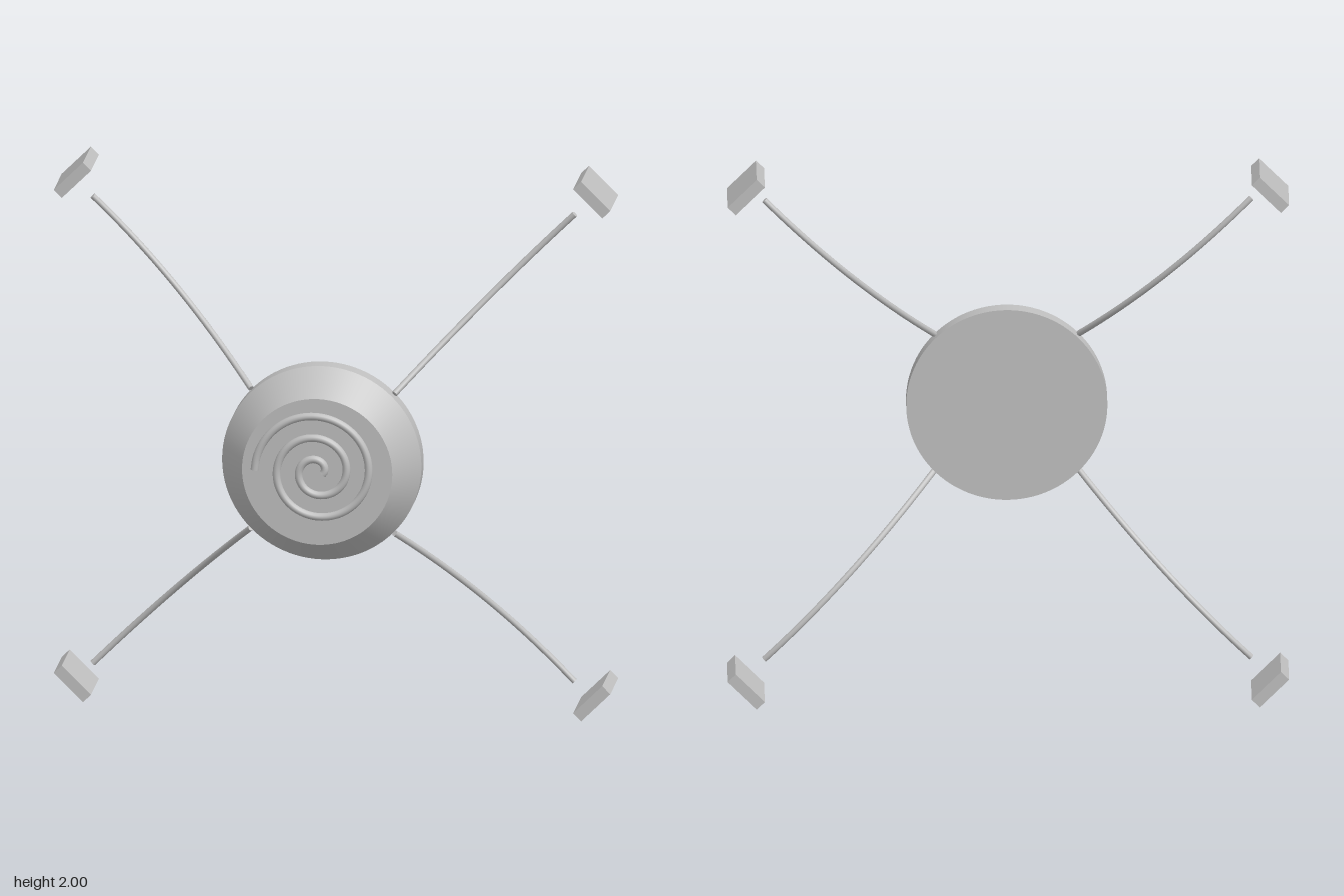
import * as THREE from 'three';

const grey = new THREE.MeshStandardMaterial({ color: 0xbfbfbf });
grey.name = 'plain grey';

// round rod along a curve, closed with a flat disc at each end
function rod(name, curve, radius, segments, sides) {
  const group = new THREE.Group();
  group.name = name;
  group.add(new THREE.Mesh(new THREE.TubeGeometry(curve, segments, radius, sides), grey));
  for (const t of [0, 1]) {
    const cap = new THREE.Mesh(new THREE.CircleGeometry(radius, sides), grey);
    const out = curve.getTangentAt(t).multiplyScalar(t ? 1 : -1);
    cap.position.copy(curve.getPointAt(t));
    cap.quaternion.setFromUnitVectors(new THREE.Vector3(0, 0, 1), out);
    group.add(cap);
  }
  return group;
}

export function createModel() {
  const model = new THREE.Group();
  model.name = 'spiralDiscWithArms';

  // body: short cylindrical rim and a tapered front, both facing +z
  const rim = new THREE.Mesh(new THREE.CylinderGeometry(0.358, 0.358, 0.06, 96), grey);
  rim.name = 'bodyRim';
  rim.rotation.x = Math.PI / 2;
  rim.position.set(0, 1, 0.138);
  const front = new THREE.Mesh(new THREE.CylinderGeometry(0.27, 0.358, 0.12, 96), grey);
  front.name = 'bodyFront';
  front.rotation.x = Math.PI / 2;
  front.position.set(0, 1, 0.228);
  model.add(rim, front);

  // raised spiral, winding inward clockwise from the left edge
  const spiral = [];
  const turns = 2.55;
  for (let i = 0; i <= 80; i++) {
    const t = (i / 80) * turns;
    const r = 0.225 - 0.08 * t;
    const a = Math.PI - t * Math.PI * 2;
    spiral.push(new THREE.Vector3(r * Math.cos(a), 1 + r * Math.sin(a), 0.29));
  }
  model.add(rod('spiralRidge', new THREE.CatmullRomCurve3(spiral), 0.014, 200, 12));

  // four curved arms, each with a pad standing off its end
  for (const sx of [-1, 1]) {
    for (const sy of [-1, 1]) {
      const label = (sy > 0 ? 'upper' : 'lower') + (sx > 0 ? 'Left' : 'Right');
      const at = (d, z) => new THREE.Vector3(sx * d, 1 + sy * d, z);
      const curve = new THREE.QuadraticBezierCurve3(at(0.258, 0.142), at(0.563, -0.183), at(0.866, -0.144));
      model.add(rod(label + 'Arm', curve, 0.011, 32, 12));

      const pad = new THREE.Mesh(new THREE.BoxGeometry(0.148, 0.041, 0.208), grey);
      pad.name = label + 'Pad';
      pad.position.copy(at(0.933, -0.203));
      pad.rotation.z = -sx * sy * Math.PI / 4;
      model.add(pad);
    }
  }
  return model;
}
